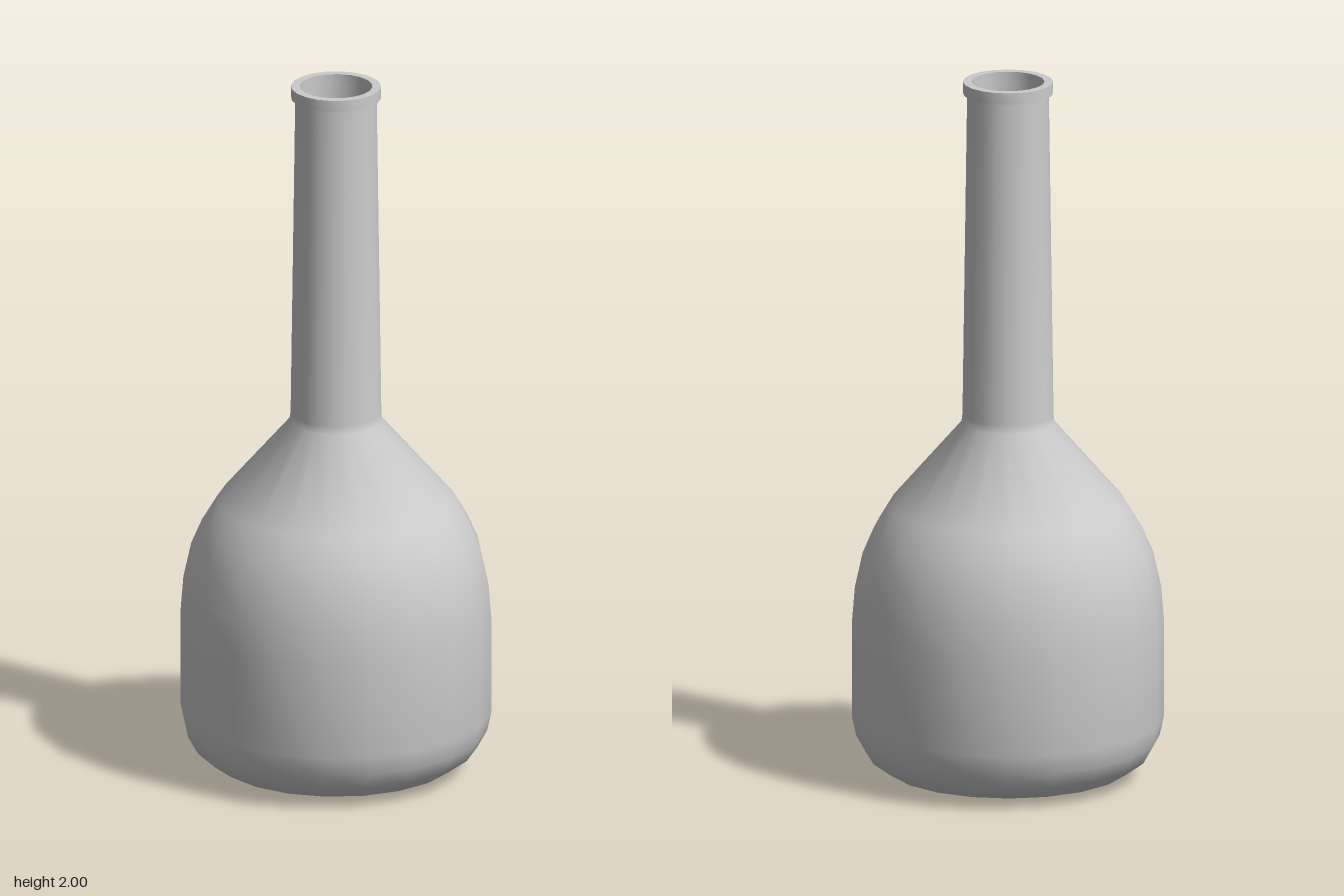
import * as THREE from 'three';
import { toCreasedNormals } from 'three/addons/utils/BufferGeometryUtils.js';

const SIDES = 20;

// Spin a [radius, height] profile around the y axis, keeping sharp edges sharp.
function lathe(name, profile, material) {
  const points = profile.map(([r, y]) => new THREE.Vector2(r, y));
  const geometry = toCreasedNormals(new THREE.LatheGeometry(points, SIDES), 0.9);
  const mesh = new THREE.Mesh(geometry, material);
  mesh.name = name;
  return mesh;
}

export function createModel() {
  const model = new THREE.Group();
  model.name = 'bottle';
  const glass = new THREE.MeshStandardMaterial({ color: 0xcccccc });

  // Outer shell: rounded base, straight belly, domed shoulder, tapering neck
  model.add(lathe('outerShell', [
    [0, 0], [0.27, 0.003], [0.34, 0.02], [0.395, 0.06], [0.423, 0.11], [0.435, 0.165],
    [0.435, 0.44], [0.427, 0.54], [0.405, 0.64], [0.375, 0.71], [0.333, 0.78],
    [0.13, 1.015], [0.127, 1.04], [0.114, 1.965],
  ], glass));

  // Collar around the mouth
  model.add(lathe('rim', [
    [0.112, 1.965], [0.126, 1.967], [0.126, 2], [0.102, 2],
  ], glass));

  // Hollow inside, from the mouth down to the floor
  model.add(lathe('innerWall', [
    [0.102, 2], [0.102, 1.965], [0.106, 1.03], [0.315, 0.77], [0.385, 0.64], [0.415, 0.44],
    [0.415, 0.165], [0.375, 0.075], [0.27, 0.025], [0, 0.02],
  ], glass));

  return model;
}
